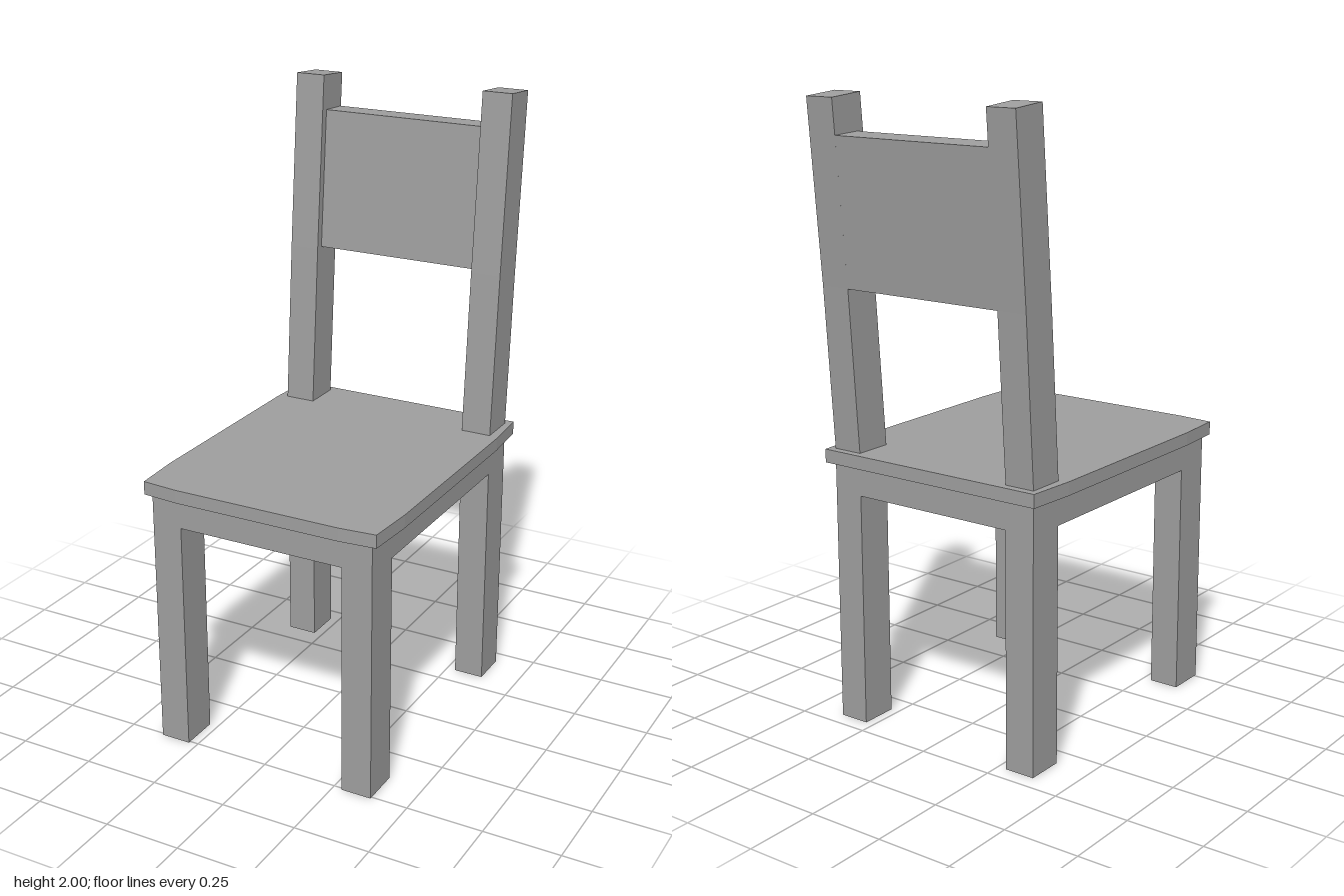
import * as THREE from 'three';

const material = new THREE.MeshStandardMaterial({ color: 0x9e9e9e, flatShading: true });

function addMesh(group, name, geometry) {
  const mesh = new THREE.Mesh(geometry, material);
  mesh.name = name;
  group.add(mesh);
  return mesh;
}

// Box given by its lower and upper corners
function box(group, name, [x0, y0, z0], [x1, y1, z1]) {
  const mesh = addMesh(group, name, new THREE.BoxGeometry(x1 - x0, y1 - y0, z1 - z0));
  mesh.position.set((x0 + x1) / 2, (y0 + y1) / 2, (z0 + z1) / 2);
}

function extrude(points, depth) {
  const shape = new THREE.Shape(points.map(([a, b]) => new THREE.Vector2(a, b)));
  return new THREE.ExtrudeGeometry(shape, { depth, bevelEnabled: false });
}

// Side profile of [z, y] points, extruded from x0 to x1
function sideProfile(group, name, points, x0, x1) {
  const geometry = extrude(points.map(([z, y]) => [-z, y]), x1 - x0);
  geometry.rotateY(Math.PI / 2);
  geometry.translate(x0, 0, 0);
  addMesh(group, name, geometry);
}

export function createModel() {
  const chair = new THREE.Group();
  chair.name = 'chair';
  const inner = 0.28, outer = 0.38, apronBottom = 0.762, seatBottom = 0.857;

  for (const [side, x0, x1] of [['left', inner, outer], ['right', -outer, -inner]]) {
    // Legs and the frame rail between them
    box(chair, side + 'FrontLeg', [x0, 0, 0.38], [x1, seatBottom, 0.508]);
    box(chair, side + 'BackLeg', [x0, 0, -0.447], [x1, seatBottom, -0.322]);
    box(chair, side + 'Apron', [x0, apronBottom, -0.322], [x1, seatBottom, 0.38]);
    // Post leaning back above the seat
    sideProfile(chair, side + 'BackPost', [
      [-0.32, 0.88], [-0.36, 1.43], [-0.408, 2], [-0.532, 1.99], [-0.483, 1.42], [-0.445, 0.88],
    ], x0, x1);
  }

  // Solid middle of the frame, flush with the legs at front and back
  box(chair, 'apronCentre', [-inner, apronBottom, -0.447], [inner, seatBottom, 0.508]);

  // Seat board with slightly bowed front and sides
  const half = [[0.28, 0.532], [0.4, 0.522], [0.41, 0.36], [0.41, -0.31], [0.4, -0.472]];
  const outline = [...half, ...half.map(([x, z]) => [-x, z]).reverse()];
  const seat = extrude(outline.map(([x, z]) => [x, -z]), 0.043);
  seat.rotateX(-Math.PI / 2);
  seat.translate(0, seatBottom, 0);
  addMesh(chair, 'seat', seat);

  // Wide backrest panel, flush with the rear of the posts
  sideProfile(chair, 'backrest', [
    [-0.386, 1.432], [-0.424, 1.885], [-0.5225, 1.88], [-0.483, 1.42],
  ], -inner, inner);

  return chair;
}
